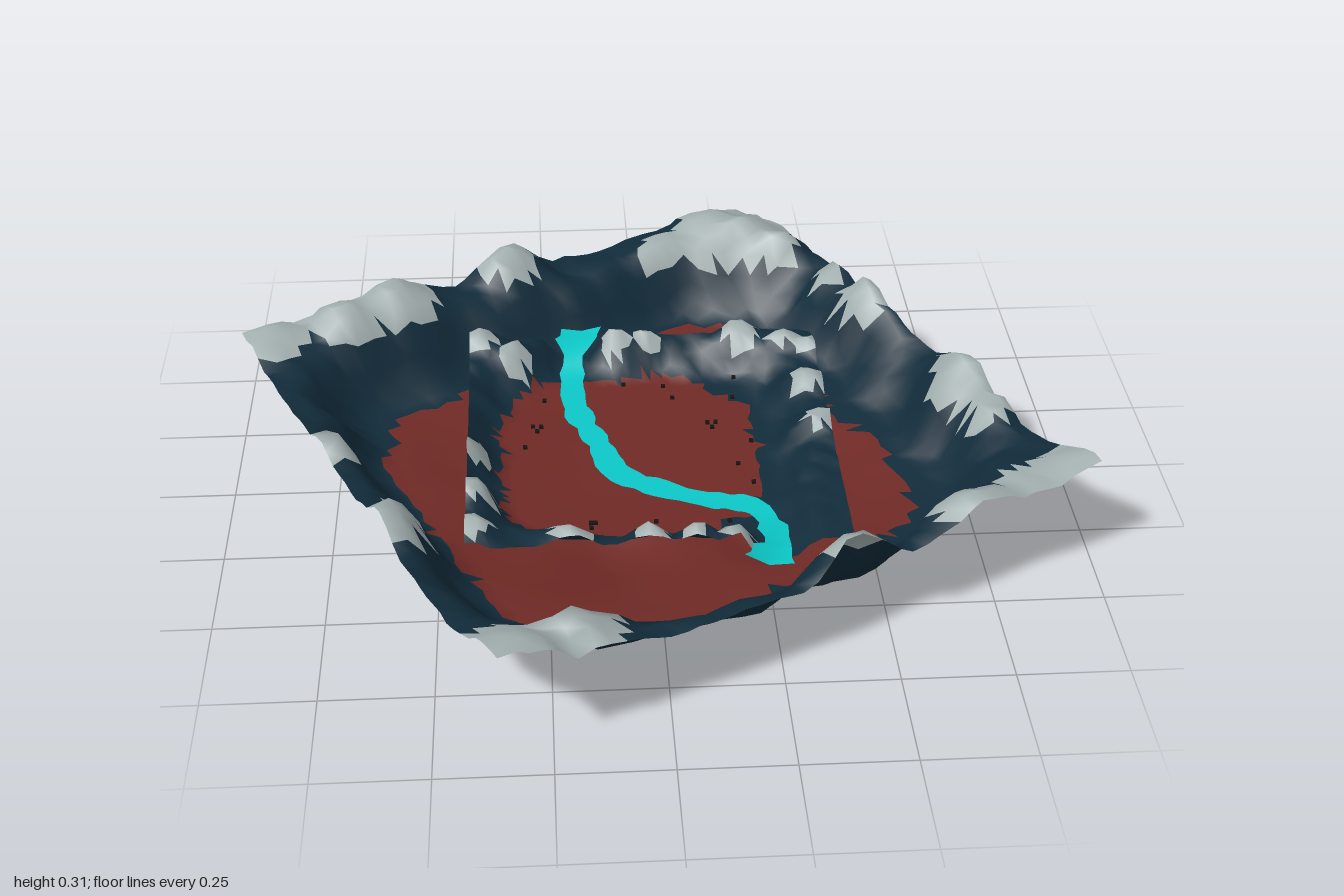
import * as THREE from 'three';

const COLORS = { floor: 0x702a26, wall: 0x122c3b, snow: 0xa3afaf, river: 0x0cc8c8, rock: 0x181414 };
const smooth = THREE.MathUtils.smoothstep;
const material = (color) => new THREE.MeshStandardMaterial({ color, side: THREE.DoubleSide });

// Repeatable ripple in about -1..1
const ripple = (x, z) =>
  0.5 * Math.sin(13 * x + 4 * Math.sin(7 * z)) + 0.5 * Math.sin(17 * z + 3 * Math.sin(9 * x + 1));
// Repeatable 0..1 hash for grid jitter
const hash = (i, j) => {
  const s = Math.sin(i * 127.1 + j * 311.7) * 43758.5453;
  return s - Math.floor(s);
};

// Snowy mounds on the outer rim: x, z, radius, height
const OUTER_MOUNDS = [
  [0.26, -0.82, 0.18, 0.08], [0.08, -0.74, 0.09, 0.05], [0.38, -0.93, 0.13, 0.02], [0.36, -0.74, 0.09, 0.08],
  [-0.34, -0.64, 0.1, 0.1], [-0.62, -0.48, 0.13, 0.09], [-0.74, -0.41, 0.12, 0.08], [-0.93, -0.36, 0.14, 0.05],
  [-0.73, 0.12, 0.08, 0.05], [-0.58, 0.43, 0.1, 0.08], [-0.34, 0.95, 0.17, 0.11], [-0.2, 0.83, 0.13, 0.08],
  [0.41, 0.63, 0.09, 0.11], [0.7, 0.46, 0.13, 0.08], [0.84, 0.39, 0.11, 0.05], [0.96, 0.34, 0.14, 0.07],
  [0.75, -0.08, 0.11, 0.08], [0.77, 0.05, 0.09, 0.07], [0.56, -0.44, 0.09, 0.08], [0.5, -0.58, 0.06, 0.06],
];
// Snowy mounds on the inner rim
const INNER_MOUNDS = [
  [-0.41, -0.4, 0.06, 0.05], [-0.32, -0.35, 0.05, 0.05], [-0.07, -0.41, 0.05, 0.04], [0.01, -0.41, 0.04, 0.03],
  [0.25, -0.41, 0.06, 0.05], [0.36, -0.38, 0.05, 0.04], [0.42, -0.34, 0.05, 0.04], [0.4, -0.18, 0.06, 0.05],
  [0.41, -0.02, 0.05, 0.04], [-0.42, 0.05, 0.05, 0.04], [-0.41, 0.22, 0.06, 0.05], [-0.42, 0.38, 0.06, 0.05],
  [-0.2, 0.4, 0.06, 0.05], [-0.02, 0.41, 0.05, 0.04], [0.08, 0.4, 0.05, 0.04], [0.18, 0.41, 0.05, 0.03],
];
// Hollows under the outer floor, and the sunken back corner of the rim
const HOLLOWS = [[-0.1, 0.31, 0.13, 0.035], [0.23, 0.28, 0.09, 0.025], [-0.33, 0.2, 0.09, 0.01]];
const SUNKEN_CORNER = [[0.38, -0.98, 0.2, 0.045]];

// Strongest bump at a point, as a height and as a 0..1 cover
function bumps(list, x, z) {
  let height = 0, cover = 0;
  for (const [cx, cz, r, h] of list) {
    const k = Math.exp(-1.4 * ((x - cx) ** 2 + (z - cz) ** 2) / (r * r));
    height = Math.max(height, h * k);
    cover = Math.max(cover, k);
  }
  return { height, cover };
}

const superRadius = (a, b) => Math.pow(a ** 4 + b ** 4, 0.25);

// River centre line
const riverPath = new THREE.CatmullRomCurve3([
  [-0.15, -0.51], [-0.17, -0.43], [-0.175, -0.22], [-0.12, -0.05], [-0.08, 0.07], [0.02, 0.14],
  [0.12, 0.19], [0.23, 0.23], [0.26, 0.31], [0.265, 0.42], [0.25, 0.49],
].map(([x, z]) => new THREE.Vector3(x, 0, z)));
const riverSamples = riverPath.getSpacedPoints(80);
const riverDistance = (x, z) => Math.min(...riverSamples.map((p) => Math.hypot(p.x - x, p.z - z)));

function outerGround(x, z, a, b) {
  const backBank = smooth(-a, 0.25, 0.5) * smooth(0.62 - Math.abs(b), 0, 0.4);
  const d = superRadius(a, b) + 0.02 * ripple(x, z) + 0.08 * backBank;
  const mound = bumps(OUTER_MOUNDS, x, z);
  const rim = smooth(d, 0.59, 0.72);
  const drop = bumps(SUNKEN_CORNER, x, z).height;
  const y = 0.04 + 0.025 * smooth(d, 0.35, 0.6) + 0.145 * rim - bumps(HOLLOWS, x, z).height - drop
    + mound.height * smooth(d, 0.54, 0.68) + 0.012 * rim * ripple(2.3 * x, 2.3 * z);
  const floorEdge = 0.57 - 0.05 * smooth(b, 0.1, 0.4) * smooth(a, -0.4, -0.1);
  const kind = mound.cover > 0.4 && y + drop > 0.19 ? 'snow' : d > floorEdge ? 'wall' : 'floor';
  return { y, kind };
}

function innerGround(x, z) {
  const d = superRadius(x + 0.03, z + 0.005) + 0.015 * ripple(2 * x, 2 * z);
  const mound = bumps(INNER_MOUNDS, x, z);
  const rim = smooth(d, 0.32, 0.42);
  const gap = smooth(riverDistance(x, z), 0.035, 0.09);
  const y = 0.074 + 0.008 * smooth(d, 0.15, 0.33)
    + (0.07 * rim + mound.height * smooth(d, 0.3, 0.38) + 0.006 * rim * ripple(4 * x, 4 * z)) * (0.25 + 0.75 * gap);
  const edge = x > 0.15 ? 0.29 : 0.33;
  const kind = mound.cover > 0.42 && y > 0.1 ? 'snow' : d > edge ? 'wall' : 'floor';
  return { y, kind };
}

// A square sheet of ground, split into one mesh for each kind of surface
function terrain(name, half, angle, n, ground) {
  const s = Math.sin(angle), c = Math.cos(angle);
  const positions = [], indices = [], step = (2 * half) / n;
  for (let i = 0; i <= n; i++) for (let j = 0; j <= n; j++) {
    const ja = i > 0 && i < n ? (hash(i, j) - 0.5) * 0.5 * step : 0;
    const jb = j > 0 && j < n ? (hash(j + 50, i) - 0.5) * 0.5 * step : 0;
    const a = -half + i * step + ja, b = -half + j * step + jb;
    const x = a * s + b * c, z = a * c - b * s;
    positions.push(x, ground(x, z, a, b).y, z);
  }
  const faces = { floor: [], wall: [], snow: [] };
  const addFace = (...ids) => {
    indices.push(...ids);
    const x = ids.reduce((t, k) => t + positions[3 * k], 0) / 3;
    const z = ids.reduce((t, k) => t + positions[3 * k + 2], 0) / 3;
    faces[ground(x, z, x * s + z * c, x * c - z * s).kind].push(...ids);
  };
  for (let i = 0; i < n; i++) for (let j = 0; j < n; j++) {
    const p = i * (n + 1) + j, q = p + n + 1;
    addFace(p, q, q + 1);
    addFace(p, q + 1, p + 1);
  }
  const whole = new THREE.BufferGeometry();
  whole.setAttribute('position', new THREE.Float32BufferAttribute(positions, 3));
  whole.setIndex(indices);
  whole.computeVertexNormals();
  const group = new THREE.Group();
  group.name = name;
  for (const kind of Object.keys(faces)) {
    const geometry = new THREE.BufferGeometry();
    geometry.setAttribute('position', whole.getAttribute('position'));
    geometry.setAttribute('normal', whole.getAttribute('normal'));
    geometry.setIndex(faces[kind]);
    const mesh = new THREE.Mesh(geometry, material(COLORS[kind]));
    mesh.name = name + kind[0].toUpperCase() + kind.slice(1);
    group.add(mesh);
  }
  return group;
}

// Ribbon of water following the inner valley, widening at both ends
function river() {
  const n = 44, positions = [], indices = [];
  for (let i = 0; i <= n; i++) {
    const t = i / n, p = riverPath.getPointAt(t), dir = riverPath.getTangentAt(t);
    const end = Math.max(smooth(t, 0.94, 0.96), 1 - smooth(t, 0.05, 0.08));
    const half = 0.03 + 0.014 * (hash(i, 3) - 0.5) + 0.02 * end;
    if (end > 0.5) dir.set(0, 0, 1);
    const shift = end > 0.5 && t > 0.5 ? 0.012 : 0;
    const lift = 0.012 + 0.012 * smooth(Math.abs(p.z), 0.3, 0.45);
    for (const side of [-1, 0, 1]) {
      const x = p.x + side * dir.z * half - shift, z = p.z - side * dir.x * half;
      positions.push(x, Math.max(innerGround(x, z).y, innerGround(p.x, p.z).y) + lift, z);
    }
    if (i < n) for (const k of [3 * i, 3 * i + 1]) indices.push(k, k + 3, k + 1, k + 1, k + 3, k + 4);
  }
  const geometry = new THREE.BufferGeometry();
  geometry.setAttribute('position', new THREE.Float32BufferAttribute(positions, 3));
  geometry.setIndex(indices);
  geometry.computeVertexNormals();
  const mesh = new THREE.Mesh(geometry, material(COLORS.river));
  mesh.name = 'river';
  return mesh;
}

// Small dark stones scattered on the inner floor
function stones() {
  const group = new THREE.Group();
  group.name = 'stones';
  const spots = [
    [-0.28, -0.14], [-0.26, -0.14], [-0.27, -0.12], [-0.25, -0.25], [-0.05, -0.31], [0.05, -0.3], [0.07, -0.25],
    [0.23, -0.32], [0.22, -0.24], [0.15, -0.14], [0.17, -0.14], [0.16, -0.12], [0.25, -0.05], [0.21, 0.04],
    [-0.3, -0.05], [-0.15, 0.26], [-0.14, 0.26], [-0.15, 0.28], [0, 0.26], [0.17, 0.27], [0.24, 0.12],
  ];
  const geometry = new THREE.BoxGeometry(0.01, 0.008, 0.01);
  for (const [x, z] of spots) {
    const stone = new THREE.Mesh(geometry, material(COLORS.rock));
    stone.name = 'stone';
    stone.position.set(x, innerGround(x, z).y + 0.002, z);
    group.add(stone);
  }
  return group;
}

export function createModel() {
  const model = new THREE.Group();
  model.name = 'mountainValley';
  model.add(
    terrain('outerValley', 0.747, 0.443, 42, outerGround),
    terrain('innerValley', 0.435, 0, 34, innerGround),
    river(),
    stones(),
  );
  // Rest the lowest point on the ground
  model.position.y = -new THREE.Box3().setFromObject(model).min.y;
  return model;
}
